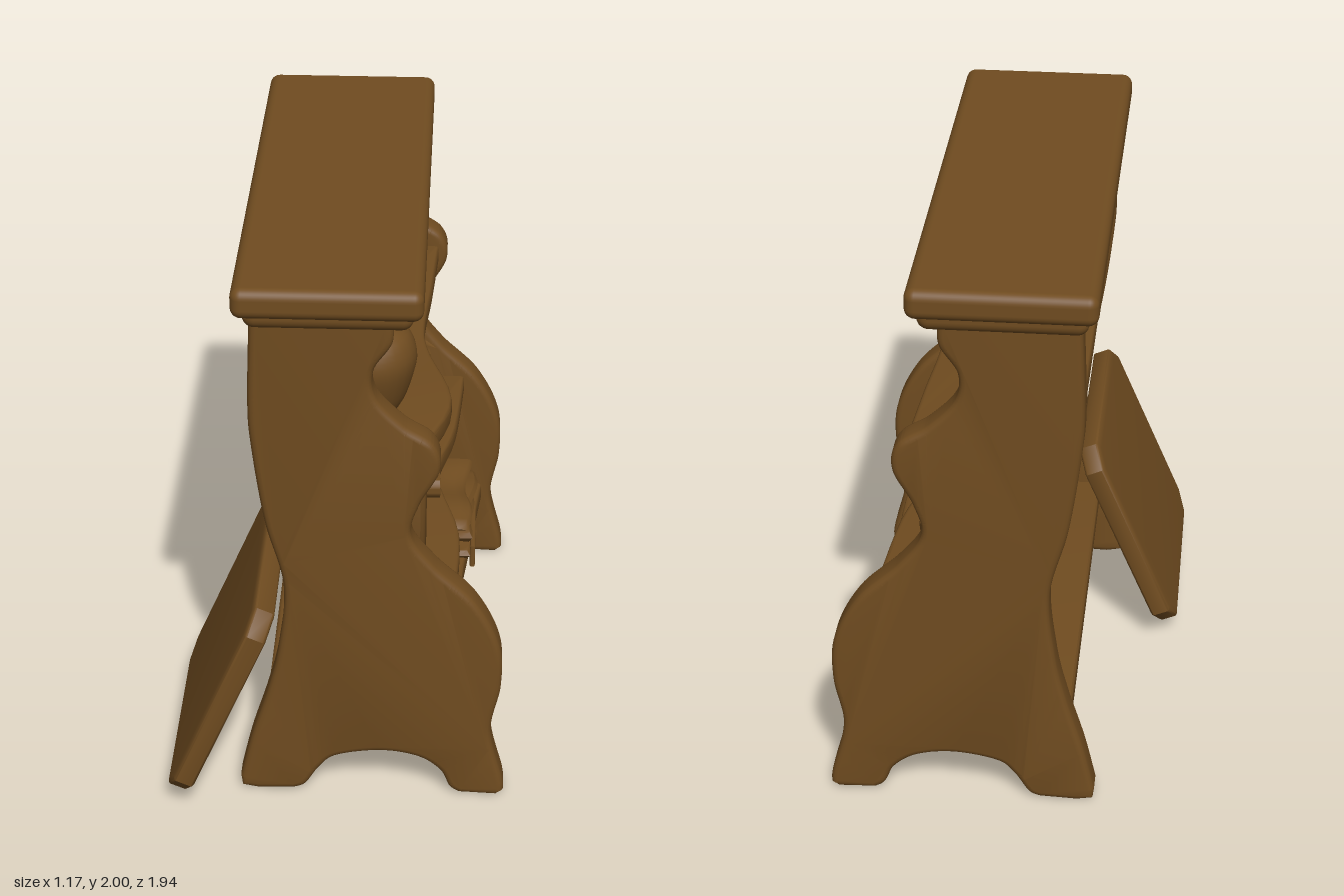
import * as THREE from 'three';
import { toCreasedNormals } from 'three/addons/utils/BufferGeometryUtils.js';
import { RoundedBoxGeometry } from 'three/addons/geometries/RoundedBoxGeometry.js';

const brown = new THREE.MeshStandardMaterial({ color: 0x704c20, side: THREE.DoubleSide });
brown.name = 'brown wood';

const v2 = (a) => a.map(([x, y]) => new THREE.Vector2(x, y));

function add(parent, name, geo, x = 0, y = 0, z = 0) {
  const mesh = new THREE.Mesh(geo, brown);
  mesh.name = name;
  mesh.position.set(x, y, z);
  parent.add(mesh);
  return mesh;
}

// Extrusion whose outer size includes the bevel; runs from 0 to depth
function extrude(shape, depth, bevel, bevelDepth = bevel, curveSegments = 8) {
  const geo = new THREE.ExtrudeGeometry(shape, {
    depth: depth - 2 * bevelDepth, bevelSize: bevel, bevelThickness: bevelDepth,
    bevelOffset: -bevel, bevelSegments: 3, curveSegments,
  });
  geo.translate(0, 0, bevelDepth);
  return toCreasedNormals(geo, 0.7);
}

// Curvy side panel outline
function panelShape() {
  const s = new THREE.Shape();
  s.moveTo(-0.28, 1.87);
  s.splineThru(v2([[-0.29, 1.55], [-0.28, 1.38], [-0.24, 1.1], [-0.18, 0.85], [-0.2, 0.6],
    [-0.24, 0.42], [-0.3, 0.22], [-0.34, 0.05]]));
  s.lineTo(-0.335, 0.01);
  s.lineTo(-0.28, 0);
  s.lineTo(-0.15, 0.005);
  s.splineThru(v2([[-0.11, 0.025], [-0.06, 0.1], [0, 0.15], [0.15, 0.175], [0.28, 0.155],
    [0.36, 0.1], [0.395, 0.03], [0.43, 0.005]]));
  s.lineTo(0.56, 0);
  s.lineTo(0.585, 0.02);
  s.splineThru(v2([[0.58, 0.07], [0.535, 0.27], [0.565, 0.46], [0.555, 0.63], [0.47, 0.8],
    [0.33, 0.94], [0.25, 1.06], [0.275, 1.18], [0.34, 1.31], [0.32, 1.41], [0.22, 1.48],
    [0.13, 1.58], [0.12, 1.68], [0.18, 1.78], [0.18, 1.87]]));
  return s;
}

// Shelf with a wavy front edge given as [x, z] points
function shelf(parent, name, y, height, back, front) {
  const s = new THREE.Shape();
  s.moveTo(back, -0.72);
  s.lineTo(front[0][0], -front[0][1]);
  s.splineThru(v2(front.slice(1).map(([x, z]) => [x, -z])));
  s.lineTo(back, 0.82);
  const geo = extrude(s, height, 0.015, 0.015, 4);
  geo.rotateX(-Math.PI / 2);
  add(parent, name, geo, 0, y, 0);
}

// Jug with an open mouth and a side handle
function jug(parent, name, profile, handle, x, y, z) {
  const g = new THREE.Group();
  g.name = name;
  g.position.set(x, y, z);
  const curve = new THREE.SplineCurve(v2(profile));
  const pts = [new THREE.Vector2(0, 0), ...curve.getPoints(24)];
  const [r, h] = profile[profile.length - 1];
  pts.push(new THREE.Vector2(r - 0.02, h), new THREE.Vector2(r - 0.035, h - 0.06), new THREE.Vector2(0, h - 0.12));
  add(g, 'jugBody', toCreasedNormals(new THREE.LatheGeometry(pts, 28), 0.8));
  const path = new THREE.CatmullRomCurve3(handle.map(([a, b]) => new THREE.Vector3(0, b, a)));
  add(g, 'jugHandle', new THREE.TubeGeometry(path, 20, 0.013, 8));
  parent.add(g);
}

// Book: height along y, thickness along z, depth along x, rounded spine facing +x
function book(name, height, thick, depth) {
  const g = new THREE.Group();
  g.name = name;
  const t = thick / 2, c = 0.012;
  const spine = new THREE.Shape();
  spine.moveTo(-depth / 2, t);
  spine.lineTo(depth / 2 - t * 0.5, t);
  spine.quadraticCurveTo(depth / 2 + t * 0.5, 0, depth / 2 - t * 0.5, -t);
  spine.lineTo(-depth / 2, -t);
  spine.lineTo(-depth / 2, -t + c);
  spine.lineTo(depth / 2 - t * 0.6, -t + c);
  spine.lineTo(depth / 2 - t * 0.6, t - c);
  spine.lineTo(-depth / 2, t - c);
  const cover = extrude(spine, height, 0.002);
  cover.rotateX(-Math.PI / 2);
  add(g, 'cover', cover);
  add(g, 'pages', new THREE.BoxGeometry(depth - 0.04, height - 0.03, thick - 2 * c), 0, height / 2, 0);
  return g;
}

// Pointed, arched leaf growing along +x
function leafGeometry(len, width) {
  const geo = new THREE.PlaneGeometry(1, 1, 5, 2);
  const p = geo.attributes.position;
  for (let i = 0; i < p.count; i++) {
    const u = p.getX(i) + 0.5, v = p.getY(i);
    const w = width * (0.12 + Math.sin(Math.PI * Math.pow(u, 0.8)) * 0.9);
    p.setXYZ(i, u * len, len * (0.5 * u - 0.5 * u * u) + Math.abs(v) * w * 0.35, -v * w);
  }
  geo.computeVertexNormals();
  return geo;
}

// Folded cloth layer with rippled edges
function clothLayer(w, h, d, phase) {
  const geo = new THREE.BoxGeometry(w, h, d, 12, 2, 14);
  const p = geo.attributes.position;
  for (let i = 0; i < p.count; i++) {
    const x = p.getX(i), y = p.getY(i), z = p.getZ(i);
    const edge = Math.abs(y) < h * 0.2 ? 0.012 : 0;
    p.setXYZ(i,
      x + Math.sign(x) * (Math.abs(x) > w * 0.49 ? edge : 0) + 0.014 * Math.sin(z * 16 + phase),
      y + 0.008 * Math.sin(z * 20 + phase) + 0.007 * Math.sin(x * 23 + phase * 2),
      z + Math.sign(z) * (Math.abs(z) > d * 0.49 ? edge : 0) + 0.01 * Math.sin(x * 19 + phase));
  }
  return toCreasedNormals(geo, 0.9);
}

export function createModel() {
  const model = new THREE.Group();
  model.name = 'bookshelf';

  // Side panels
  const panel = extrude(panelShape(), 0.11, 0.022, 0.022, 60);
  add(model, 'leftPanel', panel, 0, 0, 0.7);
  add(model, 'rightPanel', panel, 0, 0, -0.91);

  // Top board and moulding under it
  add(model, 'topBoard', new RoundedBoxGeometry(0.615, 0.105, 1.855, 4, 0.035), -0.026, 1.9475, -0.041);
  add(model, 'topMoulding', new RoundedBoxGeometry(0.55, 0.1, 1.77, 4, 0.04), -0.026, 1.888, -0.045);

  // Shelves
  shelf(model, 'upperShelf', 1.295, 0.075, -0.26,
    [[0.29, 0.72], [0.375, 0.4], [0.29, 0.05], [0.27, -0.15], [0.29, -0.45], [0.31, -0.82]]);
  shelf(model, 'middleShelf', 0.735, 0.075, -0.16,
    [[0.4, 0.72], [0.41, 0.35], [0.33, -0.05], [0.39, -0.4], [0.42, -0.82]]);
  shelf(model, 'lowerShelf', 0.245, 0.08, -0.25,
    [[0.5, 0.72], [0.5, 0.33], [0.43, -0.05], [0.45, -0.35], [0.5, -0.82]]);

  // Board leaning against the back
  const b = new THREE.Shape(v2([[-0.445, -0.33], [-0.37, -0.405], [0.37, -0.405], [0.445, -0.33],
    [0.445, 0.33], [0.37, 0.405], [-0.37, 0.405], [-0.445, 0.33]]));
  const boardGeo = extrude(b, 0.08, 0.03, 0.012);
  boardGeo.translate(0, 0, -0.04);
  boardGeo.rotateY(Math.PI / 2);
  add(model, 'leaningBoard', boardGeo, -0.395, 0.44, 0.525).rotation.z = -0.405;

  // Jugs
  jug(model, 'largeJug', [[0.1, 0], [0.135, 0.07], [0.165, 0.19], [0.145, 0.27], [0.1, 0.315], [0.1, 0.345], [0.115, 0.375]],
    [[0.14, 0.15], [0.162, 0.24], [0.168, 0.3], [0.145, 0.335], [0.1, 0.335]], 0.09, 1.37, 0.46);
  jug(model, 'smallJug', [[0.075, 0], [0.105, 0.06], [0.125, 0.15], [0.105, 0.21], [0.075, 0.24], [0.078, 0.26], [0.086, 0.28]],
    [[-0.1, 0.09], [-0.13, 0.15], [-0.14, 0.21], [-0.12, 0.25], [-0.075, 0.25]], 0.09, 1.37, 0.17);

  // Upright, leaning and stacked books: [height, thickness, depth, x, y, z, tilt]
  [[0.38, 0.075, 0.26, 0.165, 0.81, 0.5575, 0], [0.378, 0.072, 0.25, 0.17, 0.81, 0.485, 0],
    [0.38, 0.07, 0.26, 0.165, 0.81, 0.413, 0], [0.35, 0.065, 0.23, 0.16, 0.815, 0.27, 0.22],
    [0.245, 0.05, 0.2, 0.16, 0.81, 0.222, 0.17]].forEach(([h, t, d, x, y, z, tilt], i) => {
    const k = book('uprightBook' + (i + 1), h, t, d);
    k.position.set(x, y, z);
    k.rotation.x = tilt;
    model.add(k);
  });
  [[0.3, 0.07, 0.41, 0.845, -0.055, 0.05], [0.27, 0.1, 0.35, 0.945, -0.06, -0.04]].forEach(([h, t, d, y, z, turn], i) => {
    const lying = new THREE.Group();
    lying.name = 'stackedBook' + (i + 1);
    const k = book('book', h, t, d);
    k.rotation.x = Math.PI / 2;
    k.position.z = -h / 2;
    lying.add(k);
    lying.position.set(0.18, y, z);
    lying.rotation.y = -Math.PI / 2 + turn;
    model.add(lying);
  });

  // Potted plant
  const plant = new THREE.Group();
  plant.name = 'pottedPlant';
  plant.position.set(0.14, 0.81, -0.65);
  const pot = v2([[0, 0], [0.095, 0], [0.125, 0.135], [0.145, 0.14], [0.148, 0.175], [0.135, 0.182], [0.122, 0.16], [0, 0.16]]);
  add(plant, 'pot', toCreasedNormals(new THREE.LatheGeometry(pot, 24), 0.5));
  add(plant, 'stem', new THREE.CylinderGeometry(0.012, 0.018, 0.2, 8), 0, 0.25, 0);
  [[0.2, 9, 0.165, 0.07, 0], [0.235, 8, 0.13, 0.06, 0.12], [0.28, 7, 0.105, 0.05, 0.2], [0.34, 6, 0.065, 0.035, 0.35]]
    .forEach(([y, n, len, w, lift], tier) => {
      const geo = leafGeometry(len, w);
      for (let i = 0; i < n; i++) {
        const leaf = add(plant, 'leaf', geo, 0, y, 0);
        leaf.rotation.set(0, (i / n) * Math.PI * 2 + tier * 0.4, lift + 0.12 * Math.sin(i * 2.3));
      }
    });
  model.add(plant);

  // Folded cloth with a corner draped over the shelf edge
  const cloth = new THREE.Group();
  cloth.name = 'foldedCloth';
  cloth.position.set(0.24, 0.325, -0.49);
  [[0.43, 0.5, 0.025], [0.41, 0.48, 0.065], [0.42, 0.49, 0.1], [0.39, 0.47, 0.13]].forEach(([w, d, y], i) => {
    add(cloth, 'clothLayer', clothLayer(w, 0.034, d, i * 1.9), 0, y, 0).rotation.y = 0.05 * Math.sin(i * 2.1);
  });
  const drape = new THREE.Shape(v2([[-0.25, 0.05], [-0.25, -0.04], [-0.21, -0.02], [-0.17, -0.03], [-0.12, 0], [0.05, 0.02], [0.1, 0.05]]));
  const drapeGeo = extrude(drape, 0.02, 0.006);
  drapeGeo.rotateY(Math.PI / 2);
  add(cloth, 'drapedCorner', drapeGeo, 0.215, 0, 0).scale.z = -1;
  cloth.children[4].scale.z = 1;
  model.add(cloth);

  return model;
}
